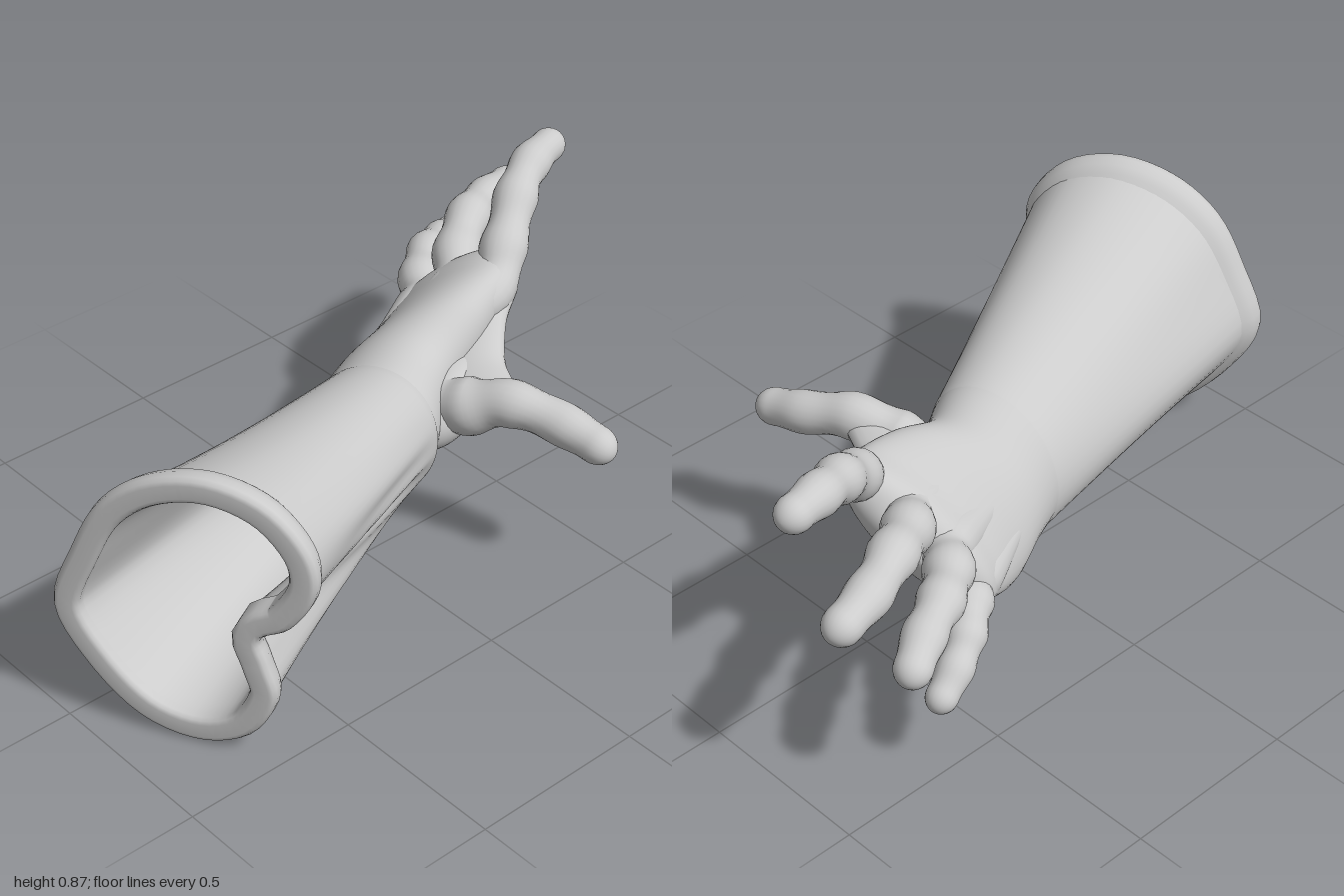
import * as THREE from 'three';

const V = (x, y, z) => new THREE.Vector3(x, y, z);
const spline = (pts, closed = false) => new THREE.CatmullRomCurve3(pts.map(p => V(...p)), closed, 'catmullrom', 0.5);
const material = new THREE.MeshStandardMaterial({ color: 0xcccccc });
const N = 72; // points around the sleeve and hand
const handUp = V(-0.5, 0.74, 0.44).normalize(); // out of the back of the hand

// Skin a list of closed rings (arrays of Vector3)
function loft(name, rings) {
  const n = rings[0].length, pos = [], idx = [];
  rings.forEach(r => r.forEach(p => pos.push(p.x, p.y, p.z)));
  for (let r = 0; r < rings.length - 1; r++) for (let i = 0; i < n; i++) {
    const j = (i + 1) % n, a = r * n + i, c = r * n + j, b = a + n, d = c + n;
    idx.push(a, b, c, c, b, d);
  }
  const g = new THREE.BufferGeometry();
  g.setAttribute('position', new THREE.Float32BufferAttribute(pos, 3));
  g.setIndex(idx);
  g.computeVertexNormals();
  const mesh = new THREE.Mesh(g, material);
  mesh.name = name;
  return mesh;
}

// Round limb along a path of [x, y, z, radius]; narrower between joints, rounded tip
function limb(name, pts, pinch) {
  const curve = spline(pts.map(p => p.slice(0, 3))), rings = [], M = 60, last = pts.length - 1;
  const tip = curve.getPoint(1);
  for (let k = 0; k <= M; k++) {
    const u = Math.sin(Math.PI / 2 * k / M), p = curve.getPoint(u), T = curve.getTangent(u);
    const s = Math.min(u * last, last - 1e-6), i = Math.floor(s), f = s - i;
    let r = THREE.MathUtils.lerp(pts[i][3], pts[i + 1][3], f * f * (3 - 2 * f));
    if (i > 0) r *= 1 - pinch * Math.sin(Math.PI * f) ** 2;
    const d = p.distanceTo(tip) / (1.25 * r);
    if (u > 0.5 && d < 1) r *= Math.sqrt(Math.max(0, 1 - (1 - d) ** 2));
    const up = handUp.clone().addScaledVector(T, -handUp.dot(T)).normalize();
    const side = T.clone().cross(up);
    rings.push(Array.from({ length: 20 }, (_, q) => {
      const th = q / 20 * Math.PI * 2;
      return p.clone().addScaledVector(up, r * Math.cos(th)).addScaledVector(side, -r * Math.sin(th));
    }));
  }
  return loft(name, rings);
}

// Bean-shaped cuff opening, counterclockwise from the top, lying in a slanted plane
const axis = V(0.475, 0, 0.88);
const bean = spline([[0.34, 0.82], [0.2, 0.78], [0.09, 0.68], [0.02, 0.53], [-0.035, 0.34], [0.04, 0.17],
  [0.16, 0.04], [0.3, 0.005], [0.42, 0.06], [0.485, 0.19], [0.465, 0.3], [0.45, 0.375], [0.52, 0.43],
  [0.58, 0.55], [0.565, 0.67], [0.475, 0.78]].map(([x, y]) => [x, y, 0.985 - 0.54 * x]), true);
const edge = [], outward = [], angle = [];
for (let i = 0; i < N; i++) {
  const p = bean.getPoint(i / N);
  edge.push(p);
  outward.push(bean.getTangent(i / N).cross(axis).normalize());
  angle.push(Math.atan2(p.y - 0.41, p.x - 0.27));
}
const rimRing = (o, d) => edge.map((p, i) => p.clone().addScaledVector(outward[i], o).addScaledVector(axis, d));

// Hand sections: centre, half-axis towards the index side, half-axis towards the back of the hand
const sections = [
  [[-0.02, 0.38, -0.05], [0.155, 0.152, -0.042], [-0.1, 0.152, 0.042]],
  [[-0.1, 0.41, -0.18], [0.135, 0.16, -0.055], [-0.085, 0.115, 0.05]],
  [[-0.145, 0.44, -0.32], [0.15, 0.195, -0.08], [-0.07, 0.1, 0.058]],
  [[-0.195, 0.485, -0.45], [0.16, 0.185, -0.09], [-0.055, 0.08, 0.047]],
  [[-0.24, 0.51, -0.535], [0.135, 0.155, -0.085], [-0.042, 0.062, 0.037]],
  [[-0.265, 0.515, -0.585], [0, 0, 0], [0, 0, 0]],
];
const [centres, acrosses, backs] = [0, 1, 2].map(k => spline(sections.map(s => s[k])));
const handRing = (t, scale = 1) => {
  const c = centres.getPoint(t), a = acrosses.getPoint(t), b = backs.getPoint(t);
  return angle.map(phi => c.clone().addScaledVector(a, scale * Math.cos(phi - Math.PI / 4))
    .addScaledVector(b, scale * Math.sin(phi - Math.PI / 4)));
};

// Rings blending from the cuff opening to the wrist
function sleeveRings(from, to, steps) {
  const rings = [];
  for (let k = 0; k <= steps; k++) {
    const t = k / steps, cy = 0.41 - 0.03 * t;
    rings.push(from.map((p, i) => {
      const q = p.clone().lerp(to[i], t);
      q.y = cy + (q.y - cy) * (1 - 0.05 * Math.sin(Math.PI * t));
      // shallow folds running along the inner side of the sleeve
      const near = Math.exp(-((angle[i] / 0.5) ** 2));
      q.x += 0.01 * near * Math.sin(Math.PI * t) * Math.cos(angle[i] * 14 + 5 * t + 2);
      return q;
    }));
  }
  return rings;
}

// Thin skin between thumb and index finger: flat ellipses from inside the hand to the free edge
function thumbWeb() {
  const free = spline([[-0.02, 0.625, -0.57], [0.02, 0.575, -0.49], [0.1, 0.52, -0.41], [0.18, 0.505, -0.365], [0.27, 0.5, -0.32]]);
  const root = spline([[-0.17, 0.52, -0.44], [-0.1, 0.47, -0.35], [-0.04, 0.44, -0.26], [0.03, 0.43, -0.19], [0.14, 0.45, -0.22]]);
  const normal = V(-0.3, 0.8, 0.5).normalize();
  return loft('thumbWeb', Array.from({ length: 25 }, (_, k) => {
    const e = free.getPoint(k / 24), r = root.getPoint(k / 24);
    const mid = e.clone().add(r).multiplyScalar(0.5), half = e.sub(r).multiplyScalar(0.5);
    return Array.from({ length: 24 }, (_, q) => {
      const th = q / 24 * Math.PI * 2;
      return mid.clone().addScaledVector(normal, 0.052 * Math.cos(th)).addScaledVector(half, Math.sin(th));
    });
  }));
}

// Fleshy mound of the palm below the thumb
function thumbMound() {
  const along = V(-0.4, 0.26, -0.88);
  along.addScaledVector(handUp, -along.dot(handUp)).normalize();
  const g = new THREE.SphereGeometry(1, 40, 28).scale(0.125, 0.17, 0.1);
  g.applyMatrix4(new THREE.Matrix4().makeBasis(along.clone().cross(handUp), along, handUp).setPosition(0.025, 0.415, -0.25));
  const mesh = new THREE.Mesh(g, material);
  mesh.name = 'thumbMound';
  return mesh;
}

export function createModel() {
  const glove = new THREE.Group();
  glove.name = 'glove';

  // Sleeve, its thick rolled rim and the hollow lining
  glove.add(loft('sleeve', [...sleeveRings(rimRing(-0.018, -0.03), handRing(0, 1.01), 40), handRing(0.02, 0.98)]));
  const profile = [[-0.072, -0.07], [-0.072, -0.012], [-0.066, -0.003], [-0.055, 0.001], [-0.018, 0.001],
    [-0.007, -0.003], [0, -0.014], [0.001, -0.035], [-0.008, -0.06], [-0.025, -0.08], [-0.05, -0.1]];
  glove.add(loft('cuffRim', profile.map(([o, d]) => rimRing(o, d))));
  const deep = angle.map(() => V(-0.03, 0.385, -0.06));
  glove.add(loft('lining', [...sleeveRings(rimRing(-0.071, -0.03), handRing(0, 0.86), 30), deep].reverse()));

  // Palm and back of the hand
  glove.add(loft('hand', Array.from({ length: 41 }, (_, k) => handRing(k / 40))));

  // Fingers, each starting as a tendon on the back of the hand
  const fingers = {
    indexFinger: [0.55, [[-0.06, 0.605, -0.49, 0.07], [-0.115, 0.685, -0.61, 0.068], [-0.185, 0.77, -0.72, 0.064],
      [-0.24, 0.815, -0.83, 0.058], [-0.28, 0.83, -0.975, 0.055]]],
    middleFinger: [0.2, [[-0.18, 0.555, -0.47, 0.072], [-0.28, 0.6, -0.59, 0.07], [-0.36, 0.635, -0.71, 0.066],
      [-0.42, 0.625, -0.84, 0.06], [-0.465, 0.61, -1.0, 0.058]]],
    ringFinger: [-0.2, [[-0.27, 0.475, -0.44, 0.072], [-0.37, 0.495, -0.54, 0.068], [-0.45, 0.505, -0.64, 0.063],
      [-0.5, 0.485, -0.74, 0.058], [-0.57, 0.445, -0.86, 0.056]]],
    littleFinger: [-0.55, [[-0.31, 0.36, -0.39, 0.07], [-0.37, 0.35, -0.47, 0.062], [-0.43, 0.325, -0.54, 0.055],
      [-0.465, 0.28, -0.61, 0.05], [-0.495, 0.215, -0.71, 0.048]]],
  };
  const [c, a, b] = sections[1];
  for (const [name, [k, pts]] of Object.entries(fingers)) {
    const start = c.map((v, i) => v + a[i] * k + b[i] * 0.66 * Math.sqrt(1 - k * k));
    glove.add(limb(name, [[...start, 0.03], ...pts], 0.14));
  }

  // Thumb with its fleshy base, and the web towards the index finger
  glove.add(limb('thumb', [[-0.06, 0.43, -0.22, 0.06], [0.05, 0.435, -0.22, 0.085], [0.15, 0.46, -0.24, 0.08],
    [0.255, 0.5, -0.29, 0.066], [0.39, 0.475, -0.35, 0.06], [0.545, 0.44, -0.385, 0.056]], 0.1));
  glove.add(thumbWeb(), thumbMound());
  return glove;
}
